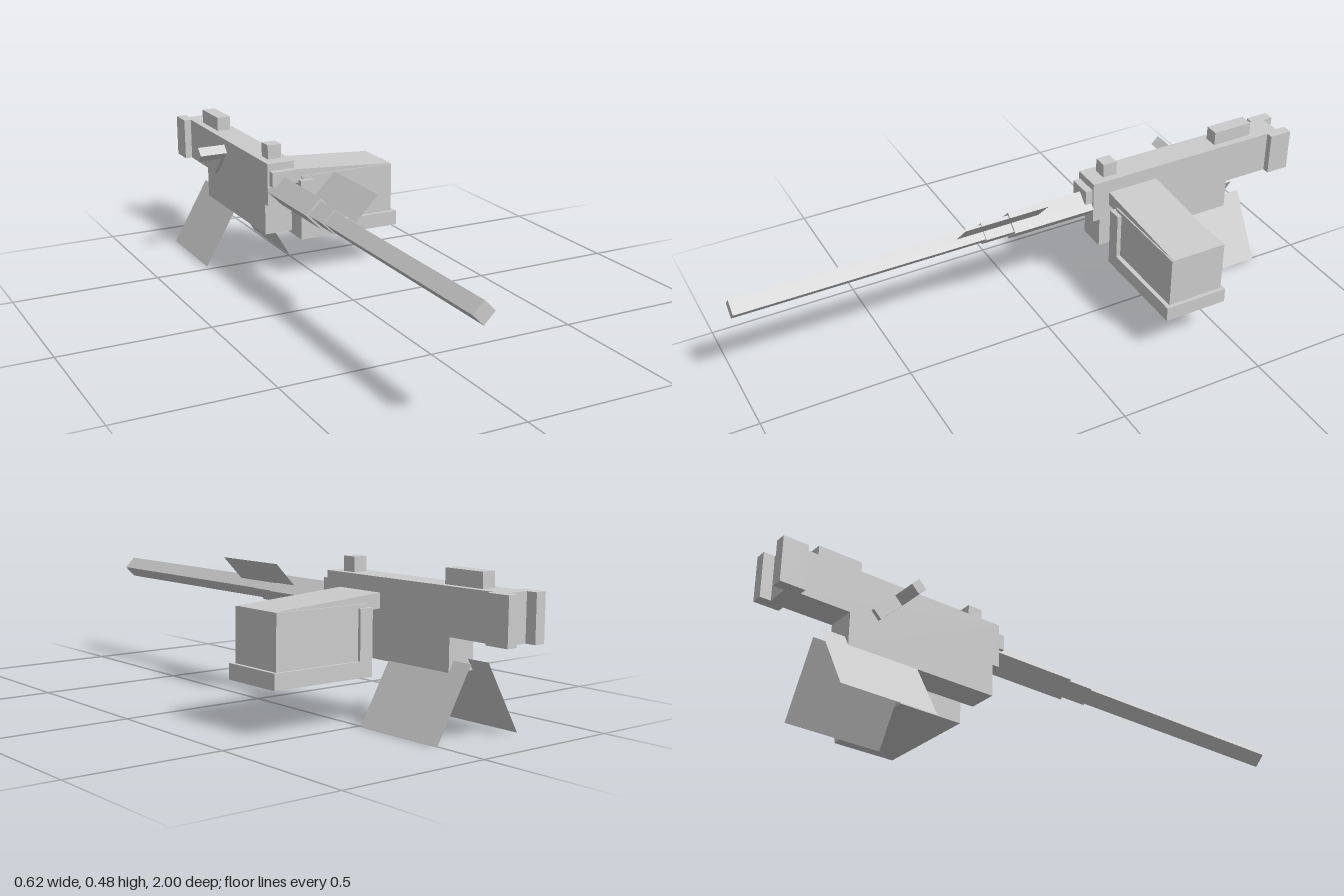
import * as THREE from 'three';

export function createModel() {
  const model = new THREE.Group();
  const material = new THREE.MeshStandardMaterial({ color: 0xcccccc, flatShading: true });
  const sheetMaterial = new THREE.MeshStandardMaterial({ color: 0xcccccc, flatShading: true, side: THREE.DoubleSide });

  const add = (name, geometry, mat = material) => {
    const mesh = new THREE.Mesh(geometry, mat);
    mesh.name = name;
    model.add(mesh);
    return mesh;
  };
  // Box from its limits on each axis
  const box = (name, [x0, x1], [y0, y1], [z0, z1]) =>
    add(name, new THREE.BoxGeometry(x1 - x0, y1 - y0, z1 - z0)
      .translate((x0 + x1) / 2, (y0 + y1) / 2, (z0 + z1) / 2));
  const extrude = (points, depth) => new THREE.ExtrudeGeometry(
    new THREE.Shape(points.map(([x, y]) => new THREE.Vector2(x, y))), { depth, bevelEnabled: false });
  // Profile given as (z, y), extruded along x
  const sideProfile = (name, points, x0, x1) =>
    add(name, extrude(points.map(([z, y]) => [-z, y]), x1 - x0).rotateY(Math.PI / 2).translate(x0, 0, 0));
  // Profile given as (x, y), extruded along z
  const frontProfile = (name, points, z0, z1) =>
    add(name, extrude(points, z1 - z0).translate(0, 0, z0));
  // Square bar on edge, running along z
  const diamondBar = (name, radius, z0, z1) =>
    add(name, new THREE.CylinderGeometry(radius, radius, z1 - z0, 4)
      .rotateX(Math.PI / 2).translate(-0.15, 0.34, (z0 + z1) / 2));
  // Flat sheet spanning a line in x-y and a range in z
  const sheet = (name, [xa, ya], [xb, yb], [z0, z1]) => {
    const g = new THREE.BufferGeometry();
    g.setAttribute('position', new THREE.Float32BufferAttribute(
      [xa, ya, z0, xa, ya, z1, xb, yb, z1, xb, yb, z0], 3));
    g.setIndex([0, 1, 2, 0, 2, 3]);
    g.computeVertexNormals();
    add(name, g, sheetMaterial);
  };

  // Receiver with its deeper middle section
  sideProfile('receiver', [
    [-0.225, 0.435], [-0.225, 0.29], [-0.25, 0.29], [-0.25, 0.185],
    [-0.76, 0.185], [-0.76, 0.29], [-0.93, 0.29], [-0.93, 0.435],
  ], -0.2, -0.103);
  box('frontCover', [-0.193, -0.11], [0.36, 0.41], [-0.23, -0.2]);

  // Rear grips: a back plate with two uprights
  box('backPlate', [-0.19, -0.115], [0.29, 0.435], [-0.965, -0.92]);
  for (const [name, x] of [['rightGrip', -0.225], ['leftGrip', -0.115]])
    box(name, [x, x + 0.036], [0.29, 0.435], [-1, -0.92]);

  // Sights
  box('frontSight', [-0.175, -0.127], [0.435, 0.483], [-0.325, -0.275]);
  box('rearSight', [-0.175, -0.127], [0.435, 0.483], [-0.86, -0.715]);

  // Barrel and stepped sleeves
  diamondBar('barrel', 0.035, -0.22, 1);
  diamondBar('middleSleeve', 0.041, -0.22, 0.165);
  diamondBar('innerSleeve', 0.051, -0.225, 0.067);

  // Ammunition box, sloping feed cover and L-shaped tray
  box('ammoBox', [-0.048, 0.295], [0.185, 0.36], [-0.475, -0.28]);
  frontProfile('feedCover', [
    [-0.105, 0.388], [-0.105, 0.34], [-0.048, 0.337], [-0.048, 0.359], [0.295, 0.359], [0.295, 0.361],
  ], -0.468, -0.285);
  frontProfile('ammoTray', [
    [-0.06, 0.14], [0.308, 0.14], [0.308, 0.19], [-0.012, 0.19], [-0.012, 0.348], [-0.06, 0.348],
  ], -0.485, -0.265);

  // Cocking handle and its slanted arm
  add('cockingHandle', new THREE.CylinderGeometry(0.025, 0.025, 0.098, 4)
    .rotateZ(Math.PI / 2).translate(-0.249, 0.39, -0.595));
  sideProfile('cockingArm', [
    [-0.595, 0.415], [-0.57, 0.39], [-0.665, 0.295], [-0.69, 0.32],
  ], -0.213, -0.2);

  // Thin splayed sheets below and the small one beside the barrel
  sheet('rightLegSheet', [-0.307, 0], [-0.18, 0.22], [-0.84, -0.525]);
  sheet('leftLegSheet', [0.005, 0], [-0.122, 0.22], [-0.828, -0.51]);
  sheet('barrelSheet', [-0.127, 0.364], [-0.053, 0.44], [-0.03, 0.262]);

  return model;
}
